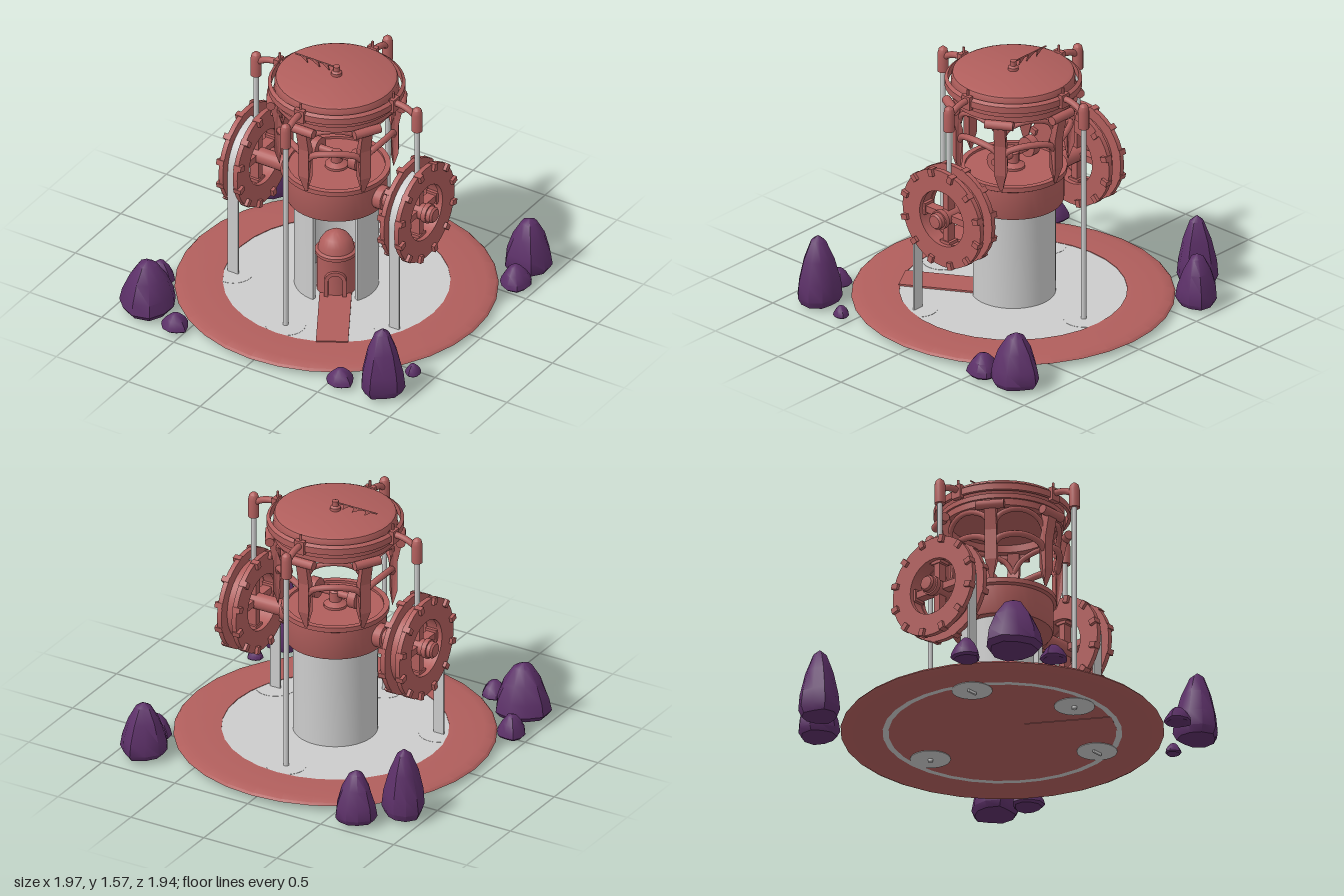
import * as THREE from 'three';
import { toCreasedNormals } from 'three/addons/utils/BufferGeometryUtils.js';

const red = new THREE.MeshStandardMaterial({ color: 0xb05e5c });
const grey = new THREE.MeshStandardMaterial({ color: 0xcccccc, side: THREE.DoubleSide });
const purple = new THREE.MeshStandardMaterial({ color: 0x5c3068 });
const PI = Math.PI;

function add(parent, name, geo, mat = red, x = 0, y = 0, z = 0) {
  const m = new THREE.Mesh(geo, mat);
  m.name = name;
  m.position.set(x, y, z);
  parent.add(m);
  return m;
}
function group(parent, name, angle = 0) {
  const g = new THREE.Group();
  g.name = name;
  g.rotation.y = angle;
  parent.add(g);
  return g;
}
// Turned solid from [radius, height] pairs, listed bottom to top
const turned = (pts, seg = 32, start = 0, len = PI * 2) => toCreasedNormals(
  new THREE.LatheGeometry(pts.map(p => new THREE.Vector2(...p)), seg, start, len), 0.6);
const rod = (r, y0, y1, seg = 16) => new THREE.CylinderGeometry(r, r, y1 - y0, seg).translate(0, (y0 + y1) / 2, 0);
const rodX = (r, x0, x1, seg = 16) => new THREE.CylinderGeometry(r, r, x1 - x0, seg).rotateZ(PI / 2).translate((x0 + x1) / 2, 0, 0);
const box = (w, h, d) => new THREE.BoxGeometry(w, h, d);
// Flat ring standing across the x axis
function ringX(outer, inner, x0, x1) {
  const s = new THREE.Shape().absarc(0, 0, outer, 0, PI * 2);
  s.holes.push(new THREE.Path().absarc(0, 0, inner, 0, PI * 2, true));
  const g = new THREE.ExtrudeGeometry(s, { depth: x1 - x0, bevelEnabled: false, curveSegments: 20 });
  return toCreasedNormals(g.rotateY(PI / 2).translate(x0, 0, 0), 0.6);
}

function addBase(root) {
  const g = group(root, 'base');
  add(g, 'baseRim', turned([[0, 0.02], [0.93, 0.02], [0.953, 0.032], [0.94, 0.046], [0.88, 0.06], [0.67, 0.06], [0.67, 0.05]]));
  add(g, 'floor', rod(0.672, 0.045, 0.056, 32), grey);
  add(g, 'undersideRing', new THREE.RingGeometry(0.67, 0.705, 32).rotateX(PI / 2), grey, 0, 0.018);
  for (const [x, z] of [[0, 0.56], [0, -0.56], [0.56, 0.25], [-0.56, 0.25]])
    add(g, 'floorPad', rod(0.12, 0.016, 0.0575, 24), grey, x, 0, z);
  const ramp = group(g, 'ramp', PI / 6);
  add(ramp, 'rampSlab', box(0.19, 0.05, 0.52), red, 0, 0.042, 0.41);
}

function addTower(root) {
  const g = group(root, 'tower');
  // Wall with a tall gap facing the ramp
  const half = 0.56, mid = PI / 6;
  add(g, 'towerWall', turned([[0.25, 0.05], [0.25, 0.66], [0.225, 0.66], [0.225, 0.05]], 40, mid + half, PI * 2 - 2 * half), grey);
  for (const s of [-1, 1])
    add(group(g, 'jamb', mid + s * half), 'jambEdge', box(0.006, 0.61, 0.025), grey, 0, 0.355, 0.2375);

  // Domed chamber inside the gap
  const c = group(g, 'chamber', mid);
  add(c, 'chamberBody', turned([[0.115, 0.05], [0.115, 0.3], [0.125, 0.305], [0.125, 0.325], [0.108, 0.335],
    [0.1, 0.375], [0.075, 0.415], [0.035, 0.445], [0, 0.452]], 24), red, 0, 0, 0.065);
  const arch = new THREE.Shape().moveTo(-0.065, 0).lineTo(-0.065, 0.11).absarc(0, 0.11, 0.065, PI, 0, true).lineTo(0.065, 0);
  arch.holes.push(new THREE.Path().moveTo(-0.042, 0).lineTo(0.042, 0).lineTo(0.042, 0.11).absarc(0, 0.11, 0.042, 0, PI).lineTo(-0.042, 0));
  add(c, 'doorFrame', new THREE.ExtrudeGeometry(arch, { depth: 0.05, bevelEnabled: false }), red, 0, 0.06, 0.145);

  // Collar and deck
  add(g, 'collar', turned([[0, 0.66], [0.295, 0.66], [0.3, 0.67], [0.3, 0.84], [0.318, 0.85], [0.318, 0.88],
    [0.285, 0.88], [0.285, 0.865], [0, 0.865]], 40));
  add(g, 'deckPost', turned([[0.07, 0.865], [0.07, 0.88], [0.035, 0.9], [0.035, 0.96], [0.025, 0.97], [0, 0.97]], 16));
  const spool = group(g, 'spool');
  spool.position.y = 0.95;
  add(spool, 'spoolAxle', rodX(0.022, -0.17, 0.17));
  for (const s of [-1, 1]) add(spool, 'spoolWheel', rodX(0.062, s * 0.138 - 0.026, s * 0.138 + 0.026, 20));
}

function addWheel(root, side) {
  const g = group(root, side > 0 ? 'leftWheel' : 'rightWheel');
  g.position.set(0.56 * side, 0.75, 0);
  g.scale.x = side;
  // Axle and hub, pointing outwards along +x
  add(g, 'axleCollar', rodX(0.072, -0.29, -0.215, 20));
  add(g, 'axle', rodX(0.05, -0.215, 0.08, 20));
  add(g, 'hubFlange', rodX(0.06, 0.06, 0.09, 20));
  add(g, 'hubCap', turned([[0.05, 0], [0.05, 0.03], [0.04, 0.042], [0, 0.045]], 20).rotateZ(-PI / 2), red, 0.085);
  // Rim, spokes and pegs
  add(g, 'drum', ringX(0.245, 0.18, -0.036, 0.036));
  for (const s of [-1, 1]) add(g, 'sidePlate', ringX(0.31, 0.175, s * 0.05 - 0.015, s * 0.05 + 0.015));
  for (let i = 0; i < 4; i++) {
    const m = add(g, 'spoke', box(0.06, 0.16, 0.042).translate(0, 0.12, 0));
    m.rotation.x = i * PI / 2;
    add(m, 'spokeFoot', box(0.075, 0.025, 0.075), red, 0, 0.168);
  }
  for (let i = 0; i < 12; i++) for (const s of [-1, 1])
    add(g, 'peg', box(0.05, 0.045, 0.034).translate(s * 0.06, 0.292, 0)).rotation.x = (i + 0.5) * PI / 6;
  // Belt over the front of the drum and down through the floor
  add(g, 'beltDrop', box(0.07, 0.75, 0.012), grey, 0, -0.375, 0.25);
  add(g, 'beltCurve', new THREE.CylinderGeometry(0.256, 0.256, 0.07, 16, 1, true, 0, PI / 2).rotateZ(PI / 2), grey);
}

function addLantern(root) {
  const g = group(root, 'lantern');
  const profile = [[0.335, 0.87], [0.365, 0.98], [0.365, 1.17], [0.392, 1.3], [0.392, 1.335], [0.33, 1.335], [0.345, 1.25], [0.32, 1.17], [0.32, 0.98]];
  const archway = (y0, h, r) => new THREE.TubeGeometry(new THREE.CatmullRomCurve3(
    Array.from({ length: 9 }, (_, k) => {
      const t = k / 4 - 1, a = t * PI / 6;
      return new THREE.Vector3(Math.sin(a) * 0.335, y0 + h * Math.sqrt(1 - t * t * 0.98), Math.cos(a) * 0.335);
    })), 20, r, 8);
  for (let i = 0; i < 6; i++) {
    // Leg, narrowing to a point at the foot
    const leg = group(g, 'leg', i * PI / 3);
    const blade = new THREE.ExtrudeGeometry(new THREE.Shape(profile.map(p => new THREE.Vector2(...p))), { depth: 0.07, bevelEnabled: false })
      .translate(0, 0, -0.035).rotateY(-PI / 2);
    const p = blade.attributes.position;
    for (let k = 0; k < p.count; k++) if (p.getY(k) < 0.9) p.setX(k, p.getX(k) * 0.3);
    blade.computeVertexNormals();
    add(leg, 'legBlade', blade);
    add(leg, 'hinge', rodX(0.028, -0.085, 0.085, 14), red, 0, 1.322, 0.385);
    // Arches between neighbouring legs
    const bay = group(g, 'bay', (i + 0.5) * PI / 3);
    add(bay, 'lowerArch', archway(1.07, 0.09, 0.02));
    add(bay, 'upperArch', archway(1.18, 0.14, 0.016));
  }
  // Roof
  add(g, 'roofRing', turned([[0.385, 1.41], [0.405, 1.41], [0.405, 1.45], [0.385, 1.465], [0.385, 1.41]], 40));
  add(g, 'lowerRing', turned([[0.31, 1.33], [0.36, 1.33], [0.36, 1.37], [0.372, 1.37], [0.372, 1.4], [0.31, 1.4], [0.31, 1.33]], 40));
  add(g, 'roofCap', turned([[0, 1.375], [0.345, 1.375], [0.365, 1.41], [0.365, 1.47], [0.357, 1.49], [0.335, 1.5], [0, 1.502]], 40));
  // Finial with a toothed pointer
  add(g, 'finial', turned([[0.032, 1.5], [0.032, 1.52], [0.02, 1.53], [0.02, 1.56], [0, 1.567]], 14));
  add(g, 'pointer', rodX(0.005, -0.285, 0, 8), red, 0, 1.55);
  for (const [x, w] of [[-0.25, 0.05], [-0.185, 0.07], [-0.1, 0.05]]) {
    const tooth = new THREE.Shape().moveTo(x, 0).lineTo(x + w, -0.035).lineTo(x + w * 0.8, 0);
    add(g, 'pointerTooth', new THREE.ExtrudeGeometry(tooth, { depth: 0.008, bevelEnabled: false }), red, 0, 1.55, -0.004);
  }
}

function addPoles(root) {
  const curve = new THREE.CatmullRomCurve3([[0.37, 1.445], [0.44, 1.445], [0.5, 1.43], [0.56, 1.395]].map(p => new THREE.Vector3(0, p[1], p[0])));
  for (let i = 0; i < 4; i++) {
    const g = group(root, 'pole', i * PI / 2);
    add(g, 'arm', new THREE.TubeGeometry(curve, 12, 0.02, 10));
    add(g, 'armClamp', box(0.065, 0.085, 0.03), red, 0, 1.435, 0.402);
    add(g, 'clampPin', rod(0.008, 1.47, 1.515, 8), red, 0, 0, 0.395);
    add(g, 'poleCap', turned([[0, 1.305], [0.033, 1.305], [0.033, 1.42], [0.026, 1.45], [0.012, 1.463], [0, 1.465]], 16), red, 0, 0, 0.56);
    // The side poles stop at the wheels
    add(g, 'poleRod', rod(0.016, i % 2 ? 1.0 : 0, 1.32, 12), grey, 0, 0, 0.56);
  }
}

function addRocks(root) {
  const g = group(root, 'rocks');
  // x, z, radius, height
  const rocks = [[-0.815, 0.79, 0.175, 0.33], [-0.905, 0.505, 0.09, 0.14], [-0.56, 0.885, 0.085, 0.1],
    [-0.66, -0.86, 0.13, 0.32], [-0.87, -0.665, 0.13, 0.43], [0.84, -0.79, 0.15, 0.33], [0.885, -0.57, 0.1, 0.14],
    [0.825, 0.8, 0.14, 0.43], [0.575, 0.865, 0.085, 0.1], [0.885, 0.56, 0.05, 0.07]];
  rocks.forEach(([x, z, r, h], i) => {
    const pts = [[0, 0], [0.85, 0], [1, 0.1], [0.93, 0.33], [0.68, 0.65], [0.33, 0.92], [0, 1]];
    const geo = new THREE.LatheGeometry(pts.map(p => new THREE.Vector2(...p)), 10);
    const p = geo.attributes.position;
    for (let k = 0; k < p.count; k++) {
      const a = Math.atan2(p.getX(k), p.getZ(k)), y = p.getY(k);
      const f = r * (0.95 + 0.07 * Math.sin(3 * a + i * 2.1 + y * 2) + 0.04 * Math.sin(5 * a + i));
      p.setXYZ(k, p.getX(k) * f, y * h, p.getZ(k) * f);
    }
    add(g, 'rock', toCreasedNormals(geo, 0.7), purple, x, 0.02, z);
  });
}

export function createModel() {
  const root = new THREE.Group();
  root.name = 'wheelTower';
  addBase(root);
  addTower(root);
  addWheel(root, 1);
  addWheel(root, -1);
  addLantern(root);
  addPoles(root);
  addRocks(root);
  return root;
}
